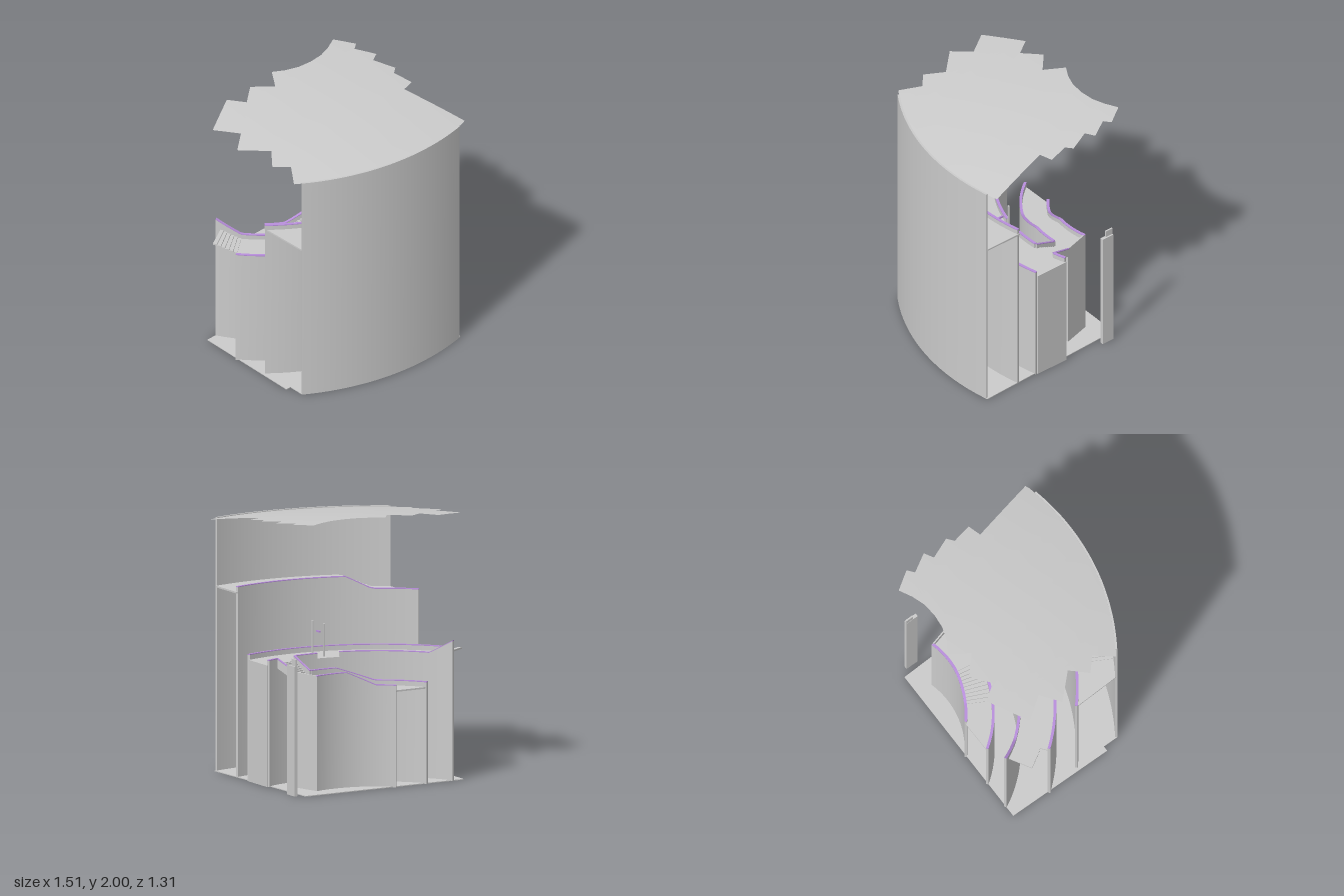
import * as THREE from 'three';
import { mergeVertices } from 'three/addons/utils/BufferGeometryUtils.js';

// All curved parts are concentric about this vertical axis; angle 0 points to +z.
const CX = 0.3, CZ = -1.07, T = 0.02;
const grey = new THREE.MeshStandardMaterial({ color: 0xcccccc, side: THREE.DoubleSide });
const purple = new THREE.MeshStandardMaterial({ color: 0xb98fdc, side: THREE.DoubleSide });
const val = (v, ...args) => (typeof v === 'function' ? v(...args) : v);
const lerp = THREE.MathUtils.lerp;
const rightEdge = (r) => Math.asin(0.375 / r);

export function createModel() {
  const model = new THREE.Group();

  function add(name, geometry, material = grey) {
    const mesh = new THREE.Mesh(geometry, material);
    mesh.name = name;
    model.add(mesh);
    return mesh;
  }

  // Box bent into a ring sector; angles may depend on radius, heights on angle and radius
  function sector(name, r0, r1, a0, a1, y0, y1, material = grey, n = 40) {
    const g = new THREE.BoxGeometry(1, 1, 1, n, 1, 1);
    const p = g.attributes.position;
    for (let i = 0; i < p.count; i++) {
      const r = lerp(r0, r1, p.getZ(i) + 0.5);
      const a = lerp(val(a0, r), val(a1, r), p.getX(i) + 0.5);
      const y = p.getY(i) < 0 ? val(y0, a, r) : val(y1, a, r);
      p.setXYZ(i, CX + r * Math.sin(a), y, CZ + r * Math.cos(a));
    }
    g.computeVertexNormals();
    return add(name, g, material);
  }

  // Height that changes evenly between two angles
  const ramp = (aHigh, yHigh, aLow, yLow) => (a) =>
    lerp(yHigh, yLow, THREE.MathUtils.clamp((a - aHigh) / (aLow - aHigh), 0, 1));

  // Curved wall with a coloured rail on top
  function wall(name, r, a0, a1, top, bottom = 0) {
    sector(name, r - T, r, a0, a1, bottom, (a, q) => val(top, a, q) - 0.006);
    sector(name + 'Rail', r - T, r, a0, a1, (a, q) => val(top, a, q) - 0.006, top, purple);
  }

  // Steps running along the ring
  function arcStairs(name, r0, r1, a0, a1, y0, y1, count) {
    for (let i = 0; i < count; i++) {
      const y = lerp(y0, y1, (i + 0.5) / count);
      sector(name, r0, r1, lerp(a1, a0, 1 - (i + 1) / count), lerp(a1, a0, 1 - i / count), y - 0.012, y, grey, 2);
    }
  }

  // Floor slab
  const floor = new THREE.Shape();
  floor.moveTo(-0.69, 0.59);
  floor.lineTo(0.63, 0.59);
  floor.lineTo(0.68, -0.61);
  for (let i = 0; i <= 30; i++) {
    const a = lerp(0.216, -0.583, i / 30);
    floor.lineTo(CX + 1.725 * Math.sin(a), -(CZ + 1.725 * Math.cos(a)));
  }
  floor.lineTo(-0.65, -0.25);
  floor.lineTo(-0.69, -0.25);
  const floorGeo = new THREE.ExtrudeGeometry(floor, { depth: 0.006, bevelEnabled: false });
  floorGeo.rotateX(-Math.PI / 2);
  add('floor', floorGeo);

  // Tall outer wall
  sector('outerWall', 1.71, 1.725, -0.583, 0.216, 0, 1.86, grey, 64);

  // Upper gallery: deck, stairs and parapet wall
  sector('upperDeck', 1.43, 1.715, -0.365, rightEdge, 1.348, 1.36);
  arcStairs('upperStep', 1.43, 1.715, -0.5, -0.365, 1.27, 1.36, 9);
  sector('upperLanding', 1.43, 1.715, -0.5, (r) => lerp(-0.736, -0.583, (r - 1.43) / 0.285), 1.258, 1.27);
  wall('upperGalleryWall', 1.445, -0.736, 0.259, ramp(-0.365, 1.4, -0.497, 1.31));

  // Middle gallery: deck, end wall and rising steps at the far end
  sector('middleDeck', 1.02, 1.27, -0.9, rightEdge, 0.878, 0.89);
  sector('middleEndWall', 1.02, 1.27, (r) => rightEdge(r) - 0.01, rightEdge, 0, 0.89, grey, 1);
  arcStairs('middleStep', 1.02, 1.21, -1.05, -0.9, 0.95, 0.89, 6);
  wall('middleOuterWall', 1.285, -0.9, 0.293, 0.93);
  const innerTop = ramp(-0.9, 0.93, -1.085, 1.03);
  wall('middleInnerWall', 1.029, -1.085, -0.25, innerTop);
  sector('gateSill', 1.009, 1.029, -0.25, -0.08, 0, 0.89);
  wall('middleInnerWall', 1.029, -0.08, 0.1, 0.93);
  sector('stairSill', 1.009, 1.029, 0.1, 0.27, 0, 0.89);
  wall('middleInnerWall', 1.029, 0.27, 0.367, 0.93);

  // Connecting stair from the middle gallery down to the lower one
  for (let i = 0; i < 8; i++) {
    const r = lerp(1.009, 0.84, i / 8), y = lerp(0.885, 0.81, i / 7);
    sector('connectingStep', r - 0.0215, r, 0.11, 0.26, y - 0.014, y, grey, 4);
  }
  const slope = (base) => (a, r) => base + ((r - 0.83) / 0.19) * 0.08;
  for (const a of [0.1, 0.26]) {
    sector('connectingStairSide', 0.83, 1.02, a, a + 0.016, slope(0.78), slope(0.844), grey, 1);
    sector('connectingStairRail', 0.83, 1.02, a, a + 0.016, slope(0.844), slope(0.85), purple, 1);
  }

  // Lower gallery: landing, stairs, deck and both walls
  const lowTop = ramp(-0.15, 0.85, -0.5, 0.75);
  sector('lowerLanding', 0.63, 0.83, -0.15, 0.27, 0.798, 0.81);
  arcStairs('lowerStep', 0.63, 0.83, -0.5, -0.15, 0.71, 0.81, 10);
  sector('lowerDeck', 0.63, 0.83, (r) => lerp(-0.731, -0.964, (r - 0.63) / 0.2), -0.5, 0.698, 0.71);
  sector('lowerEndWall', 0.63, 0.84, 0.255, 0.27, 0, 0.85, grey, 1);
  wall('lowerOuterWall', 0.84, -0.964, 0.1, lowTop);
  sector('lowerStairSill', 0.82, 0.84, 0.1, 0.27, 0, 0.81);
  wall('lowerInnerWall', 0.644, -0.731, 0.27, lowTop);

  // Box parts: lone pier and the gate posts with a bar
  function box(name, w, h, d, x, y, z, material) {
    add(name, new THREE.BoxGeometry(w, h, d), material).position.set(x, y + h / 2, z);
  }
  box('pier', 0.025, 0.95, 0.1, 0.685, 0, -0.49);
  box('pierCap', 0.012, 0.05, 0.06, 0.68, 0.95, -0.51);
  for (const z of [0.14, -0.02]) box('gatePost', 0.012, 0.15, 0.012, 0.14, 0.98, z);
  box('gateBar', 0.012, 0.012, 0.05, 0.14, 1.056, 0.06, purple);
  box('gateFoot', 0.012, 0.1, 0.012, 0.14, 0.89, 0.14);
  box('gateFoot', 0.012, 0.1, 0.012, 0.14, 0.89, -0.02);

  // Domed roof sheet with a jagged outline
  const outline = [
    [-0.69, 0.33], [-0.59, 0.19], [-0.69, 0.1], [-0.585, -0.025], [-0.757, -0.2], [-0.62, -0.31],
    [-0.74, -0.48], [-0.445, -0.65], [-0.36, -0.53], [-0.225, -0.64], [-0.09, -0.52], [0.005, -0.66],
    [0.09, -0.61], [0.19, -0.575], [0.3, -0.565], [0.41, -0.575], [0.51, -0.61], [0.605, -0.66],
    [0.7, -0.52], [0.65, -0.48], [0.735, -0.34], [0.665, -0.3], [0.735, -0.14], [0.685, -0.1],
    [0.72, 0.05], [0.62, 0.08], [0.75, 0.58],
  ].map(([x, z]) => new THREE.Vector2(x, z));
  for (let i = 0; i <= 16; i++) {
    const a = lerp(0.25, -0.57, i / 16);
    outline.push(new THREE.Vector2(CX + 1.715 * Math.sin(a), CZ + 1.715 * Math.cos(a)));
  }
  let tris = THREE.ShapeUtils.triangulateShape(outline, []).map((f) => f.map((i) => outline[i]));
  const mid = (p, q) => p.clone().add(q).multiplyScalar(0.5);
  for (let k = 0; k < 3; k++) {
    tris = tris.flatMap(([a, b, c]) => {
      const ab = mid(a, b), bc = mid(b, c), ca = mid(c, a);
      return [[a, ab, ca], [ab, b, bc], [ca, bc, c], [ab, bc, ca]];
    });
  }
  const points = tris.flatMap(([a, b, c]) => {
    const turn = (b.x - a.x) * (c.y - a.y) - (b.y - a.y) * (c.x - a.x);
    return (turn > 0 ? [a, c, b] : [a, b, c]).map((p) =>
      new THREE.Vector3(p.x, 2.01 - 0.0535 * ((p.x - CX) ** 2 + (p.y - CZ) ** 2), p.y));
  });
  const roof = mergeVertices(new THREE.BufferGeometry().setFromPoints(points));
  roof.computeVertexNormals();
  add('roof', roof);

  return model;
}
